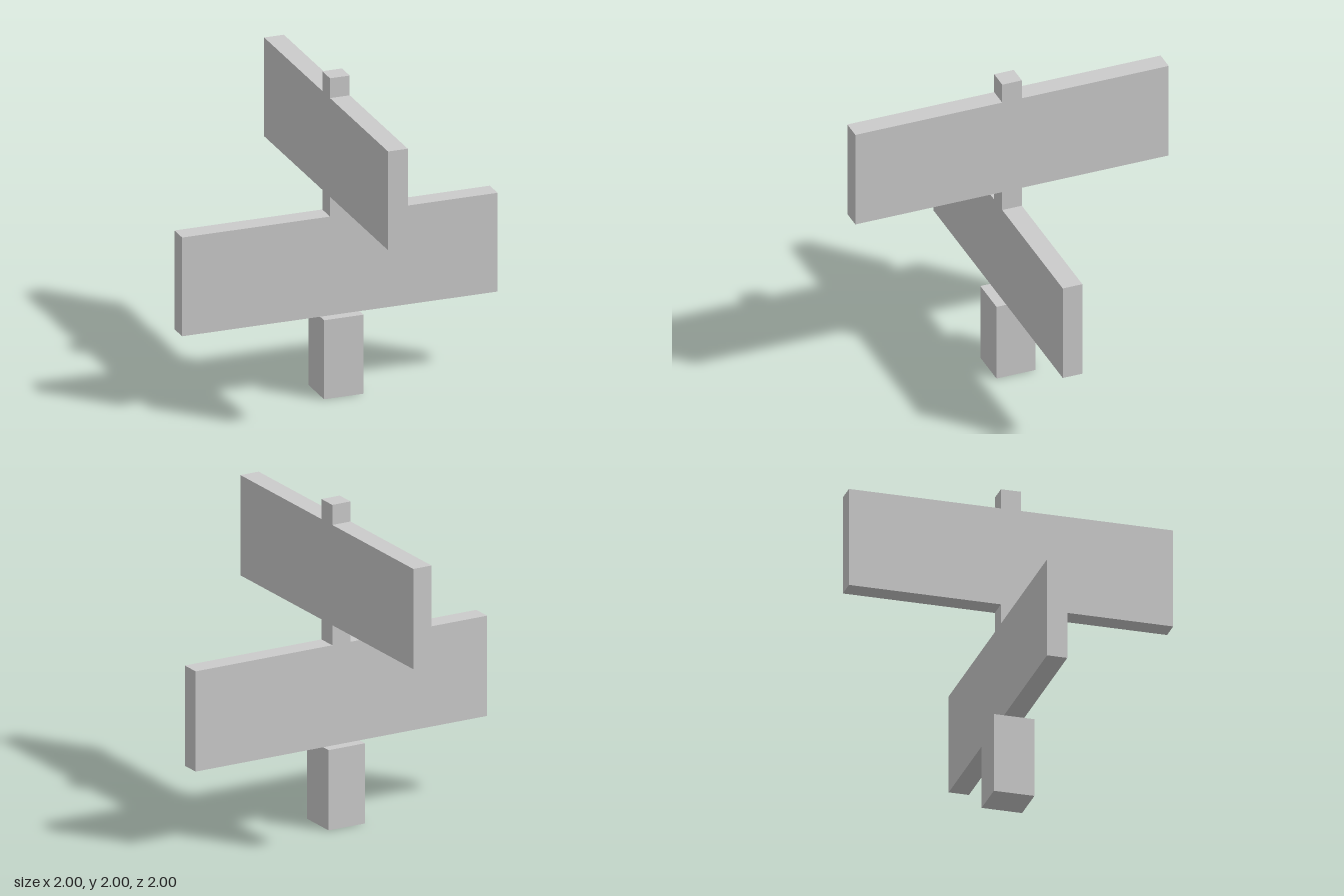
import * as THREE from 'three';

const T = 0.125; // common thickness of post and boards

export function createModel() {
  const group = new THREE.Group();
  const material = new THREE.MeshStandardMaterial({ color: 0xcccccc, flatShading: true });

  // Box of width w and depth d, spanning heights y0 to y1
  const addBox = (name, w, d, y0, y1) => {
    const mesh = new THREE.Mesh(new THREE.BoxGeometry(w, y1 - y0, d), material);
    mesh.position.y = (y0 + y1) / 2;
    mesh.name = name;
    group.add(mesh);
  };

  // Stacked from the ground up; the post shows only between and above the boards
  addBox('base', 2 * T, 2 * T, 0, 0.5);
  addBox('lowerBoard', 2, T, 0.5, 1.125);
  addBox('postMiddle', T, T, 1.125, 1.25);
  addBox('upperBoard', T, 2, 1.25, 1.875);
  addBox('postTop', T, T, 1.875, 2);

  return group;
}
